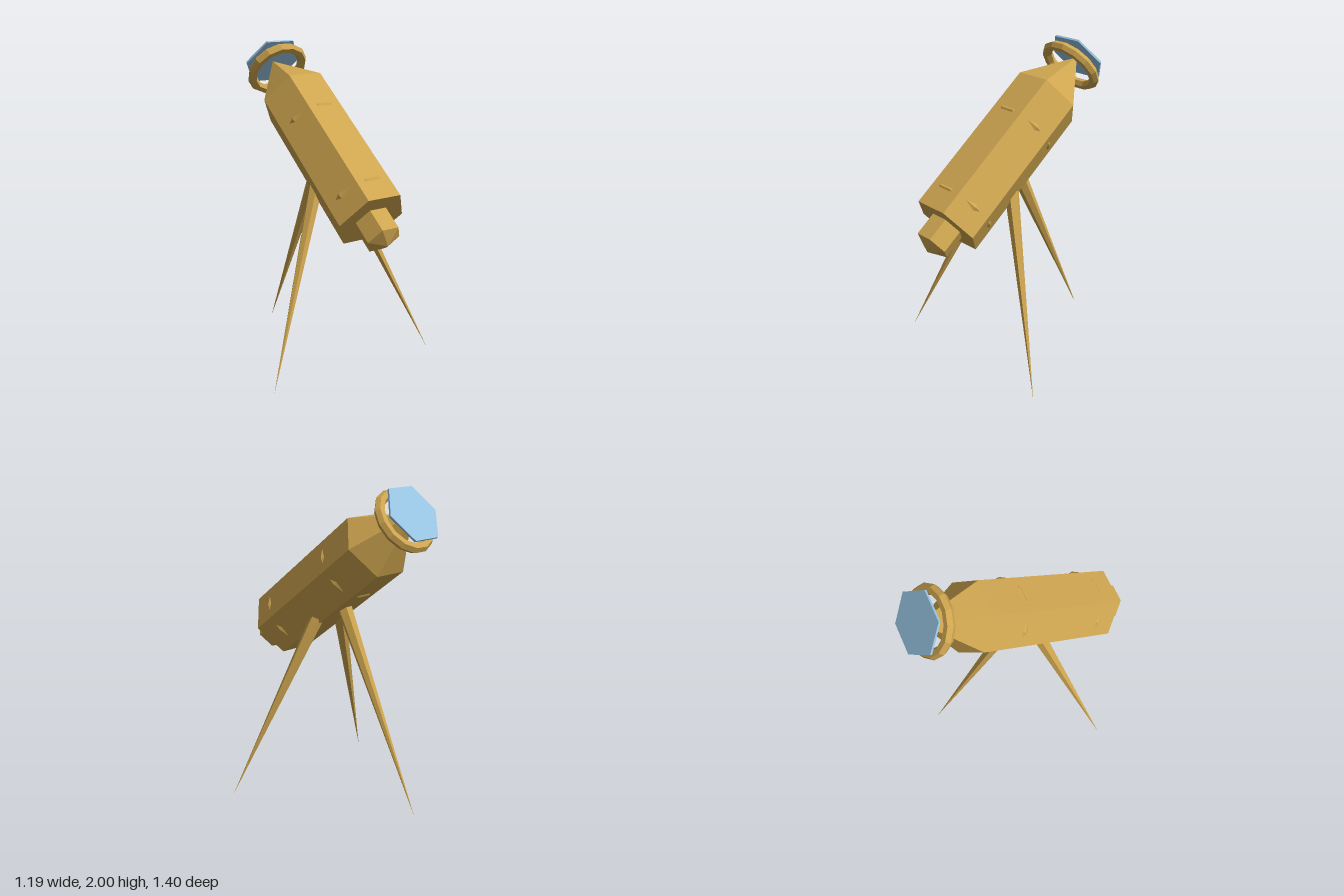
import * as THREE from 'three';

const HEX = 6;
const circum = (apothem) => apothem / Math.cos(Math.PI / HEX);

export function createModel() {
  const brass = new THREE.MeshStandardMaterial({ color: 0xcfa650, flatShading: true });
  brass.name = 'brass';
  const glass = new THREE.MeshStandardMaterial({ color: 0x98c4e2, flatShading: true });
  glass.name = 'pale blue glass';

  const model = new THREE.Group();
  model.name = 'telescope';

  const add = (parent, name, geometry, material) => {
    const mesh = new THREE.Mesh(geometry, material);
    mesh.name = name;
    parent.add(mesh);
    return mesh;
  };

  // Six-sided prism or pyramid from height y0 to y1, corners at +x and -x
  const hexPart = (name, rTop, rBottom, y0, y1, material, parent, open = false) => {
    const g = new THREE.CylinderGeometry(rTop, rBottom, y1 - y0, HEX, 1, open, Math.PI / 2);
    g.translate(0, (y0 + y1) / 2, 0);
    return add(parent, name, g, material);
  };

  // Tilted optical tube: local y runs along the axis from eyepiece to lens
  const tube = new THREE.Group();
  tube.name = 'tubeAssembly';
  tube.position.set(0, 1.026, 0.522);
  tube.rotation.x = -Math.atan2(0.8, 0.6);
  model.add(tube);

  const bodyR = circum(0.2), eyeR = circum(0.1);
  hexPart('tubeBody', bodyR, bodyR, 0, 1.04, brass, tube);
  hexPart('tubeNose', 0, bodyR, 1.04, 1.385, brass, tube, true);
  hexPart('eyepiece', eyeR, eyeR, -0.15, 0, brass, tube);
  hexPart('eyepieceTip', eyeR, 0, -0.2, -0.15, brass, tube, true);
  hexPart('lensPlate', 0.197, 0.197, 1.384, 1.397, glass, tube);

  // Two bands that break through the tube faces, and the free lens ring
  const ring = new THREE.TorusGeometry(0.18, 0.032, 6, 14).rotateX(Math.PI / 2);
  [['lowerBand', 0.148], ['upperBand', 0.77], ['lensRing', 1.313]].forEach(([name, y]) => {
    add(tube, name, ring, brass).position.y = y;
  });

  // Tripod: three pointed legs spreading from the middle of the tube
  const height = 1.395, spread = 0.689;
  const length = Math.hypot(height, spread);
  const leg = new THREE.ConeGeometry(0.055, length, HEX, 1, false, Math.PI / 2);
  leg.rotateX(Math.PI);
  leg.translate(0, -length / 2, 0);
  leg.rotateX(-Math.atan2(spread, height));

  const tripod = new THREE.Group();
  tripod.name = 'tripod';
  tripod.position.set(0, height, 0.03);
  model.add(tripod);
  [['leftLeg', 1], ['rightLeg', -1], ['backLeg', 3]].forEach(([name, turn]) => {
    add(tripod, name, leg, brass).rotation.y = turn * Math.PI / 3;
  });

  return model;
}
